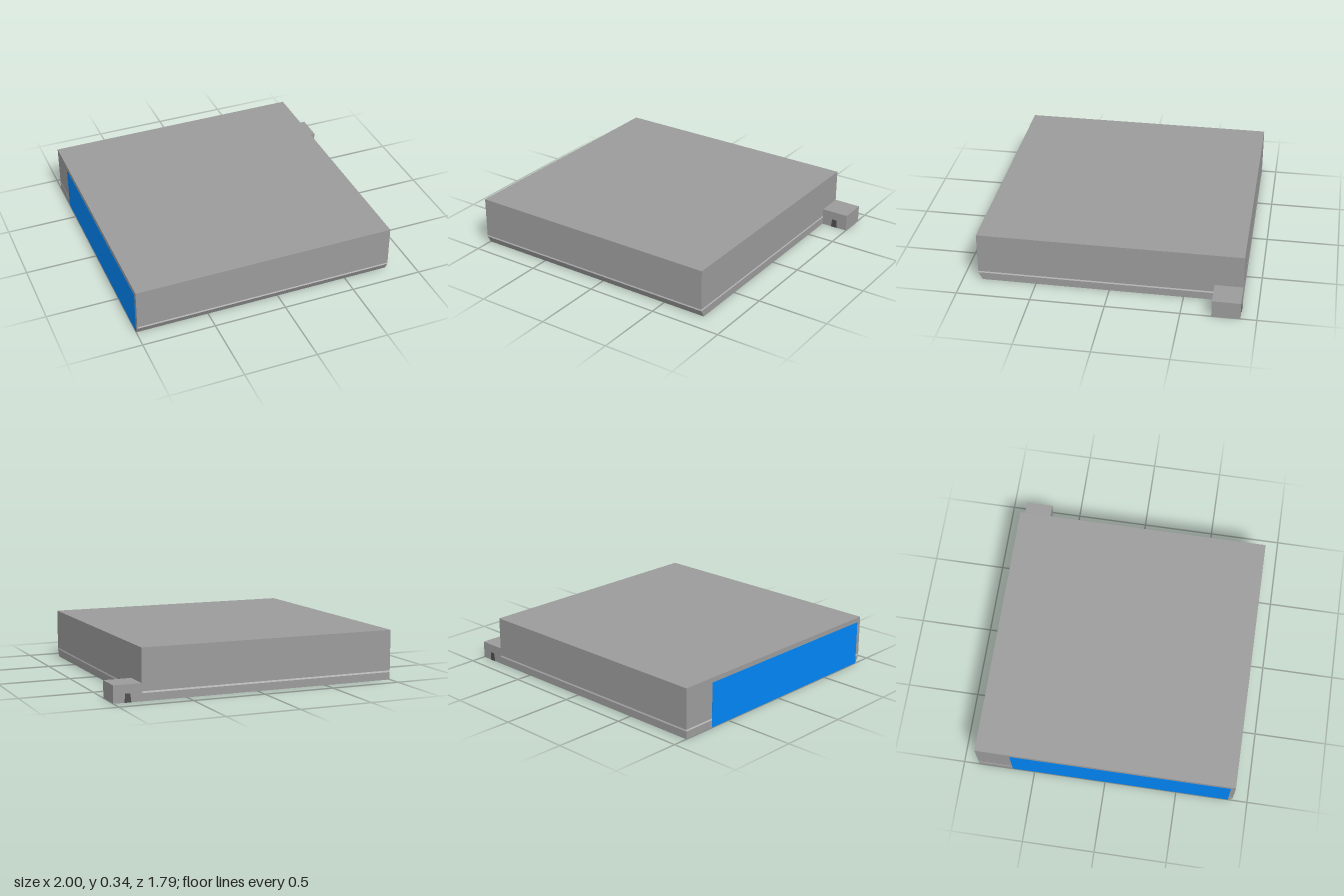
import * as THREE from 'three';

const X0 = -0.999, X1 = 0.809, BACK = -0.893, FRONT = 0.896;

function mat(color) {
  return new THREE.MeshStandardMaterial({ color, flatShading: true });
}

function add(group, name, geometry, material) {
  const mesh = new THREE.Mesh(geometry, material);
  mesh.name = name;
  group.add(mesh);
  return mesh;
}

// Stacks rectangular rings [y, front z]; each band between rings takes its own material
function stackedSlab(rings, bandMaterials) {
  const positions = [], index = [];
  const geo = new THREE.BufferGeometry();
  for (const [y, z] of rings) {
    positions.push(X0, y, z, X1, y, z, X1, y, BACK, X0, y, BACK);
  }
  bandMaterials.forEach((material, band) => {
    const start = index.length;
    for (let i = 0; i < 4; i++) {
      const a = band * 4 + i, b = band * 4 + (i + 1) % 4;
      index.push(a, b, b + 4, a, b + 4, a + 4);
    }
    geo.addGroup(start, 24, material);
  });
  // Bottom and top faces
  const t = (rings.length - 1) * 4;
  geo.addGroup(index.length, 12, 0);
  index.push(0, 2, 1, 0, 3, 2, t, t + 1, t + 2, t, t + 2, t + 3);
  geo.setAttribute('position', new THREE.Float32BufferAttribute(positions, 3));
  geo.setIndex(index);
  const flat = geo.toNonIndexed();
  flat.computeVertexNormals();
  return flat;
}

export function createModel() {
  const group = new THREE.Group();
  const grey = mat(0x9b9b9b), pale = mat(0xcccccc), blue = mat(0x0085f5), dark = mat(0x4d4d4d);

  // Slab with a chamfered lower front edge and a thin pale band just above it
  const rings = [[0, 0.868], [0.052, FRONT], [0.064, FRONT], [0.344, FRONT]];
  add(group, 'body', stackedSlab(rings, [0, 1, 0]), [grey, pale]);

  // Coloured panel on the side
  const panel = add(group, 'sidePanel', new THREE.BoxGeometry(0.002, 0.309, 1.52), blue);
  panel.position.set(-0.999, 0.1555, 0.105);

  // Small block beside the rear corner
  const block = add(group, 'sideBlock', new THREE.BoxGeometry(1 - X1, 0.117, 0.189), grey);
  block.position.set((1 + X1) / 2, 0.0585, BACK + 0.0945);

  // Tapered key running through the block, just proud of both faces
  const outline = new THREE.Shape([[0.88, 0], [0.926, 0], [0.92, 0.058], [0.887, 0.058]]
    .map(([x, y]) => new THREE.Vector2(x, y)));
  const key = add(group, 'blockKey',
    new THREE.ExtrudeGeometry(outline, { depth: 0.195, bevelEnabled: false }), dark);
  key.position.z = -0.896;

  return group;
}
